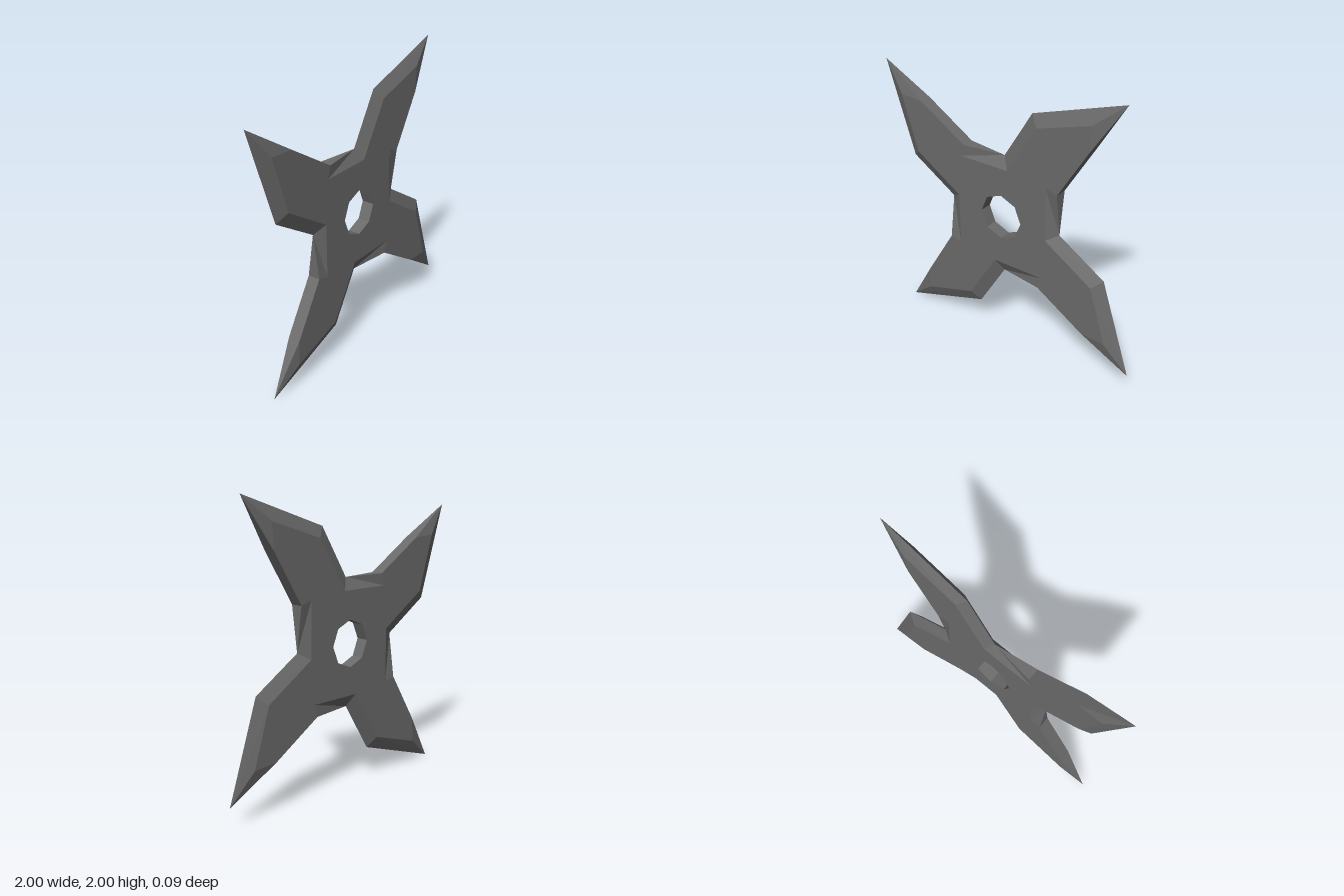
import * as THREE from 'three';

const H = 0.043; // half thickness of the blade
const HOLE = 0.16;

// One arm, relative to the centre: sharp rim points (z = 0), the inset
// points of the flat face, and the blunt spine points at full thickness.
const ARM = {
  notch: [0, 0.437], shoulder: [0.21, 0.78], tip: [0.863, 1],
  notchIn: [0.05, 0.355], shoulderIn: [0.27, 0.71], tipIn: [0.66, 0.835],
  spineIn: [0.57, 0.7], spineTop: [0.65, 0.66], spineBase: [0.435, 0.305], baseIn: [0.35, 0.33],
};
const RIM = ['notch', 'shoulder', 'tip'];

// Arm points turned clockwise by i quarter turns
function armPoints(i) {
  const c = Math.round(Math.cos(i * Math.PI / 2)), s = Math.round(Math.sin(i * Math.PI / 2));
  const out = {};
  for (const [k, [x, y]] of Object.entries(ARM)) {
    out[k] = new THREE.Vector3(c * x + s * y, c * y - s * x, RIM.includes(k) ? 0 : H);
  }
  return out;
}

const flip = (v) => new THREE.Vector3(v.x, v.y, -v.z);

function trianglesToGeometry(points) {
  const g = new THREE.BufferGeometry().setFromPoints(points);
  g.computeVertexNormals();
  return g;
}

export function createModel() {
  const group = new THREE.Group();
  group.name = 'throwingStar';
  const material = new THREE.MeshStandardMaterial({ color: 0x6a6a6a, flatShading: true });
  const add = (name, geometry) => {
    const mesh = new THREE.Mesh(geometry, material);
    mesh.name = name;
    mesh.position.y = 1;
    group.add(mesh);
  };

  const arms = [0, 1, 2, 3].map(armPoints);

  // Flat faces with the octagonal hole
  const outline = arms.flatMap((p) =>
    [p.notchIn, p.shoulderIn, p.tipIn, p.spineIn, p.spineTop, p.spineBase, p.baseIn]);
  const ring = Array.from({ length: 8 }, (_, i) =>
    new THREE.Vector2(HOLE * Math.cos(i * Math.PI / 4), HOLE * Math.sin(i * Math.PI / 4)));
  const shape = new THREE.Shape(outline.map((p) => new THREE.Vector2(p.x, p.y)));
  shape.holes.push(new THREE.Path(ring));
  const face = new THREE.ShapeGeometry(shape);
  add('frontFace', face.clone().translate(0, 0, H));
  // The back is the front mirrored in z, with the winding reversed
  const back = face.clone().translate(0, 0, -H);
  back.setIndex(Array.from(face.index.array).reverse());
  back.computeVertexNormals();
  add('backFace', back);

  // Ground edges and blunt spines of each arm
  arms.forEach((p, i) => {
    const next = arms[(i + 1) % 4];
    const bevel = [], spine = [];
    const quad = (a, b, c, d) => {
      for (const [u, v, w] of [[a, b, c], [a, c, d]]) bevel.push(u, v, w, flip(w), flip(v), flip(u));
    };
    quad(p.notchIn, p.shoulderIn, p.shoulder, p.notch);
    quad(p.shoulderIn, p.tipIn, p.tip, p.shoulder);
    quad(p.tipIn, p.spineIn, p.spineTop, p.tip);
    quad(p.baseIn, next.notchIn, next.notch, p.spineBase);
    add('bevel' + (i + 1), trianglesToGeometry(bevel));

    const topBack = flip(p.spineTop), baseBack = flip(p.spineBase);
    spine.push(p.tip, p.spineTop, topBack);
    spine.push(p.spineTop, p.spineBase, baseBack, p.spineTop, baseBack, topBack);
    spine.push(p.spineBase, next.notch, baseBack);
    add('spine' + (i + 1), trianglesToGeometry(spine));
  });

  // Inner wall of the hole, facing the axis
  const wall = [];
  ring.forEach((a, i) => {
    const b = ring[(i + 1) % 8];
    const [af, bf] = [a, b].map((v) => new THREE.Vector3(v.x, v.y, H));
    wall.push(af, bf, flip(bf), af, flip(bf), flip(af));
  });
  // Reverse each triangle if it faces away from the axis
  for (let i = 0; i < wall.length; i += 3) {
    const n = new THREE.Triangle(wall[i], wall[i + 1], wall[i + 2]).getNormal(new THREE.Vector3());
    if (n.dot(wall[i]) > 0) [wall[i + 1], wall[i + 2]] = [wall[i + 2], wall[i + 1]];
  }
  add('holeWall', trianglesToGeometry(wall));

  return group;
}
